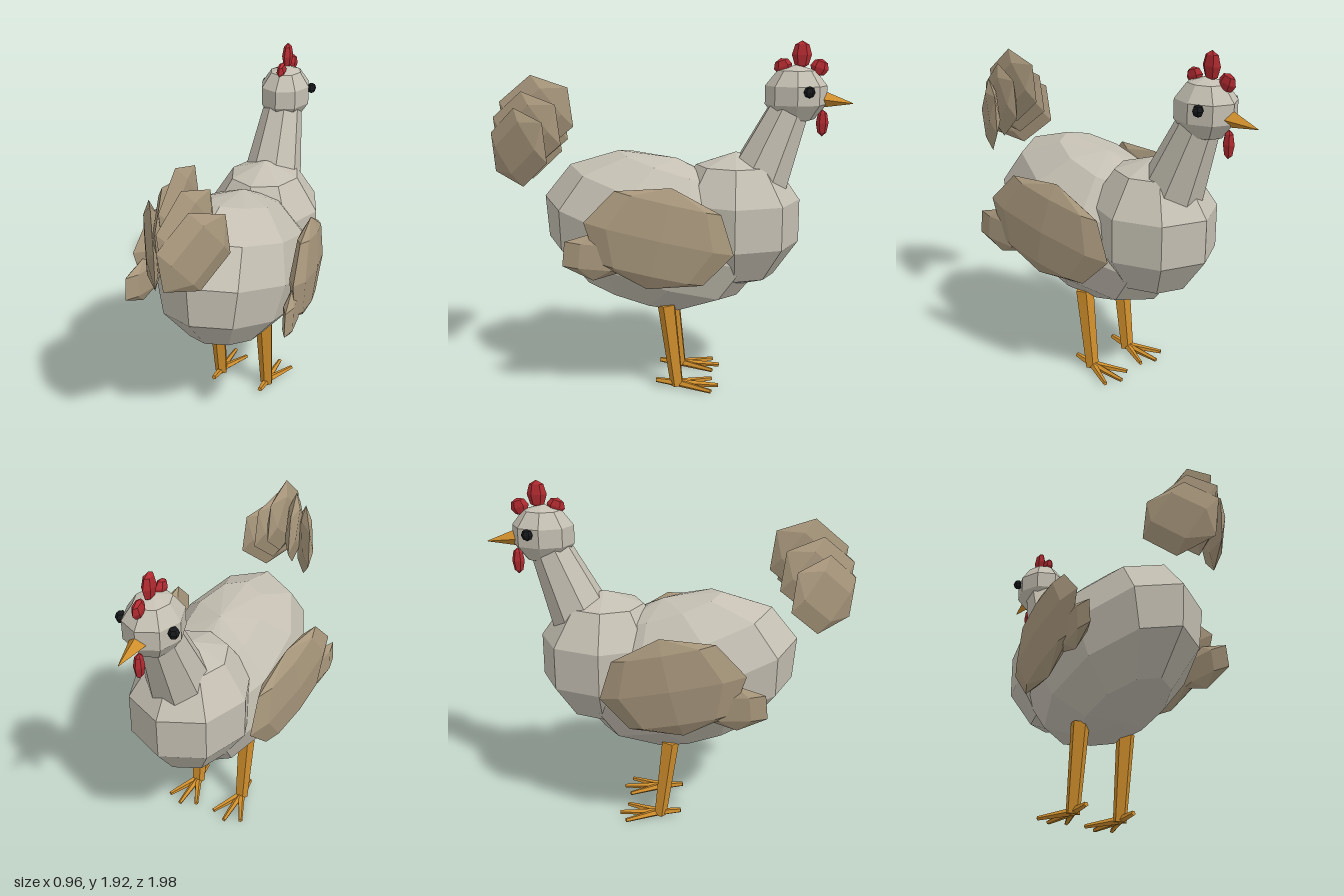
import * as THREE from 'three';

const mat = (name, color) => {
  const m = new THREE.MeshStandardMaterial({ color, flatShading: true });
  m.name = name;
  return m;
};

export function createModel() {
  const model = new THREE.Group();
  model.name = 'hen';
  const cream = mat('cream feathers', 0xc4bfb2);
  const tan = mat('tan feathers', 0xa8977c);
  const red = mat('red comb', 0xb02a30);
  const orange = mat('orange legs and beak', 0xcf8e2c);
  const black = mat('black eyes', 0x15171a);

  const add = (name, geometry, material) => {
    const mesh = new THREE.Mesh(geometry, material);
    mesh.name = name;
    model.add(mesh);
    return mesh;
  };

  // Faceted ellipsoid with a ring corner on the z axis
  const blob = (name, material, pos, radii, sides, rings, tilt = 0, yaw = 0) => {
    const g = new THREE.SphereGeometry(1, sides, rings);
    g.rotateY(Math.PI / 2).scale(...radii);
    const mesh = add(name, g, material);
    mesh.position.set(...pos);
    mesh.rotation.set(tilt, yaw, 0, 'YXZ');
    return mesh;
  };

  // Tapered rod between two points
  const rod = (name, material, from, to, r0, r1, sides, turn = 0) => {
    const a = new THREE.Vector3(...from), b = new THREE.Vector3(...to);
    const dir = b.clone().sub(a);
    const g = new THREE.CylinderGeometry(r1, r0, dir.length(), sides).rotateY(turn);
    const mesh = add(name, g, material);
    mesh.position.copy(a).add(b).multiplyScalar(0.5);
    mesh.quaternion.setFromUnitVectors(new THREE.Vector3(0, 1, 0), dir.normalize());
    return mesh;
  };

  // Body, chest, neck and head
  blob('body', cream, [0, 0.87, 0.07], [0.385, 0.43, 0.64], 10, 6, -0.3);
  blob('chest', cream, [0, 0.94, -0.38], [0.335, 0.38, 0.37], 8, 5);
  rod('neck', cream, [0, 1.1, -0.475], [0, 1.56, -0.665], 0.18, 0.11, 8, Math.PI / 8);
  blob('head', cream, [0, 1.63, -0.695], [0.15, 0.16, 0.174], 8, 5);

  // Comb, wattle and beak
  blob('combFront', red, [0, 1.775, -0.815], [0.024, 0.047, 0.05], 6, 4, -0.3);
  blob('combMiddle', red, [0, 1.842, -0.72], [0.028, 0.074, 0.053], 6, 4);
  blob('combBack', red, [0, 1.78, -0.622], [0.024, 0.045, 0.05], 6, 4, 0.3);
  blob('wattle', red, [0, 1.48, -0.84], [0.026, 0.073, 0.034], 6, 4);
  rod('beak', orange, [0, 1.61, -0.82], [0, 1.585, -1], 0.05, 0.002, 4);

  for (const s of [1, -1]) {
    const side = s > 0 ? 'left' : 'right';
    blob(side + 'Eye', black, [s * 0.14, 1.655, -0.755], [0.027, 0.031, 0.031], 6, 4);

    // Wing with a trailing feather
    blob(side + 'Wing', tan, [s * 0.4, 0.92, 0.01], [0.06, 0.275, 0.4], 8, 4, -0.24, s * 0.14);
    blob(side + 'WingFeather', tan, [s * 0.43, 0.83, 0.34], [0.036, 0.13, 0.19], 6, 3, -0.1, s * 0.14);

    // Leg and toes
    const x = s * 0.15;
    rod(side + 'Leg', orange, [x, 0.01, -0.07], [x, 0.485, -0.012], 0.038, 0.052, 5);
    for (const splay of [-0.09, 0, 0.09]) {
      rod(side + 'FrontToe', orange, [x, 0.022, -0.07],
        [x + splay, 0.013, splay ? -0.26 : -0.3], 0.022, 0.012, 5);
    }
    rod(side + 'BackToe', orange, [x, 0.02, -0.07], [x, 0.036, 0.05], 0.022, 0.014, 5);
  }

  // Fanned tail: centre feather and two pairs
  const feathers = [
    [0, 1.515, 0.72, 0],
    [0.055, 1.43, 0.765, 0.26],
    [0.11, 1.345, 0.8, 0.53],
  ];
  feathers.forEach(([x, y, z, yaw], i) => {
    for (const s of i ? [1, -1] : [1]) {
      blob('tailFeather', tan, [s * x, y, z], [0.042, 0.23, 0.21], 6, 3, -0.88, -s * yaw);
    }
  });

  return model;
}
